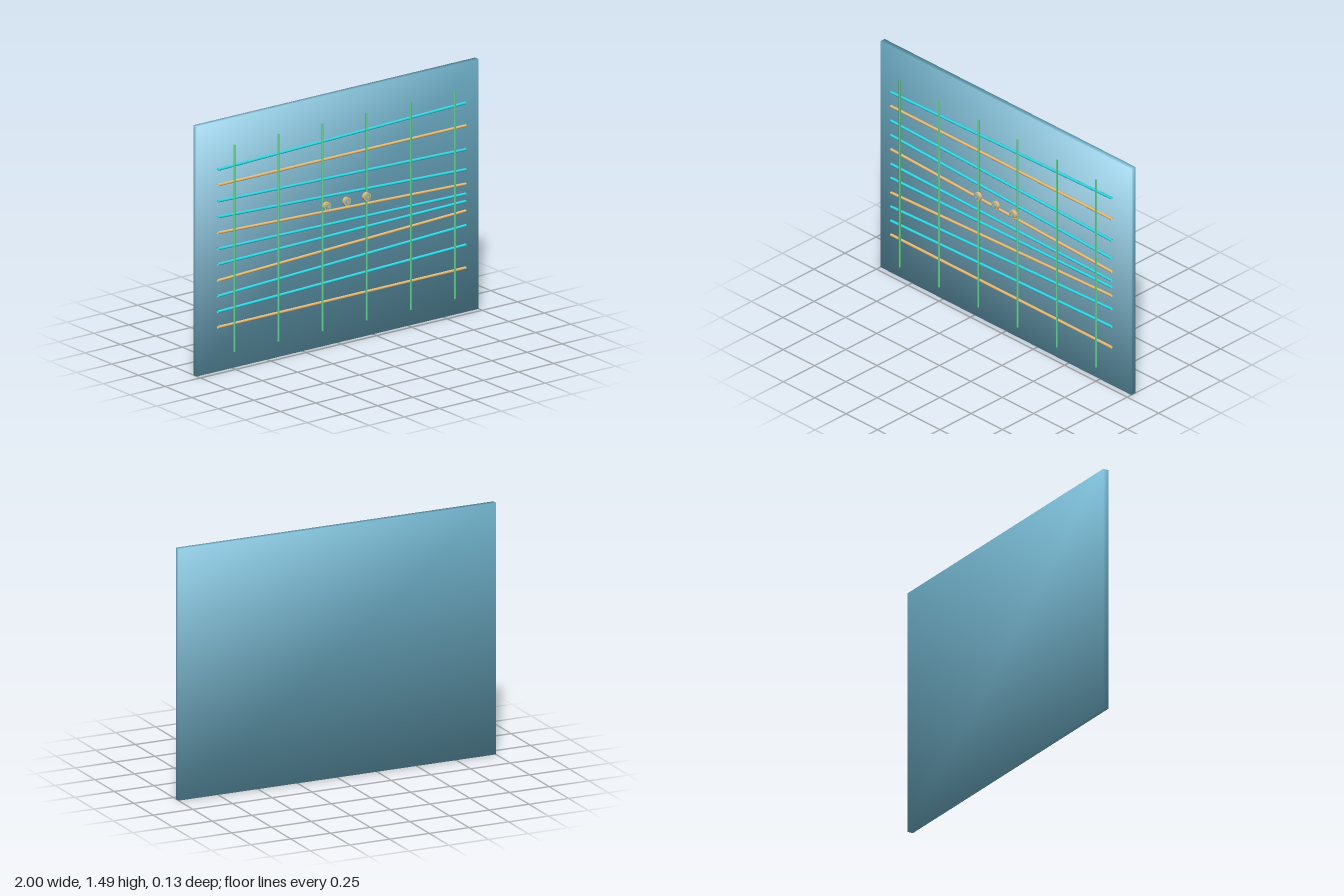
import * as THREE from 'three';

const material = (name, color, side = THREE.FrontSide) => {
  const m = new THREE.MeshStandardMaterial({ color, side });
  m.name = name;
  return m;
};

export function createModel() {
  const model = new THREE.Group();
  model.name = 'wirePanel';
  const slate = material('slate blue', 0x74b8d2);
  const cyan = material('cyan', 0x2fd9e8, THREE.DoubleSide);
  const gold = material('gold', 0xeabf78, THREE.DoubleSide);
  const green = material('green', 0x62d692, THREE.DoubleSide);

  const add = (name, geometry, mat, x = 0, y = 0, z = 0) => {
    const mesh = new THREE.Mesh(geometry, mat);
    mesh.name = name;
    mesh.position.set(x, y, z);
    model.add(mesh);
    return mesh;
  };

  // Backing panel, its normals averaged at each corner for smooth shading
  const slab = new THREE.BoxGeometry(2, 1.49, 0.034);
  const { position, normal } = slab.attributes;
  const n = new THREE.Vector3();
  for (let i = 0; i < position.count; i++) {
    n.set(Math.sign(position.getX(i)), Math.sign(position.getY(i)), Math.sign(position.getZ(i))).normalize();
    normal.setXYZ(i, n.x, n.y, n.z);
  }
  add('backPanel', slab, slate, 0, 0.745, -0.05);

  // Open-ended straight tube between two points
  const tube = (name, a, b, radius, mat) =>
    add(name, new THREE.TubeGeometry(new THREE.LineCurve3(a, b), 4, radius, 8), mat);

  // Horizontal wires: heights of the -x and +x ends
  const wires = [
    [1.219, 1.263], [1.127, 1.127], [1.031, 0.985], [0.936, 0.865],
    [0.842, 0.779], [0.746, 0.72], [0.654, 0.676], [0.557, 0.619],
    [0.464, 0.532], [0.371, 0.416], [0.279, 0.279],
  ];
  wires.forEach(([y0, y1], i) => tube('horizontalWire',
    new THREE.Vector3(-0.88, y0, 0.003), new THREE.Vector3(0.88, y1, 0.003),
    0.0085, i % 3 === 1 ? gold : cyan));

  // Vertical wires in front of them
  for (let i = 0; i < 6; i++) {
    const x = (i - 2.5) * 0.313;
    tube('verticalWire', new THREE.Vector3(x, 0.12, 0.031), new THREE.Vector3(x, 1.354, 0.031),
      0.0058, green);
  }

  // Three round knobs, each with a small cap and a centre dot on its face
  const disc = (name, radius, depth, mat, x, z) =>
    add(name, new THREE.CylinderGeometry(radius, radius, depth, 20), mat, x, 0.865, z)
      .rotation.x = Math.PI / 2;
  for (const x of [-0.141, 0, 0.141]) {
    disc('knob', 0.025, 0.018, gold, x, 0.05);
    disc('knobCap', 0.016, 0.007, slate, x, 0.0625);
    disc('knobDot', 0.008, 0.002, gold, x, 0.066);
  }
  return model;
}
